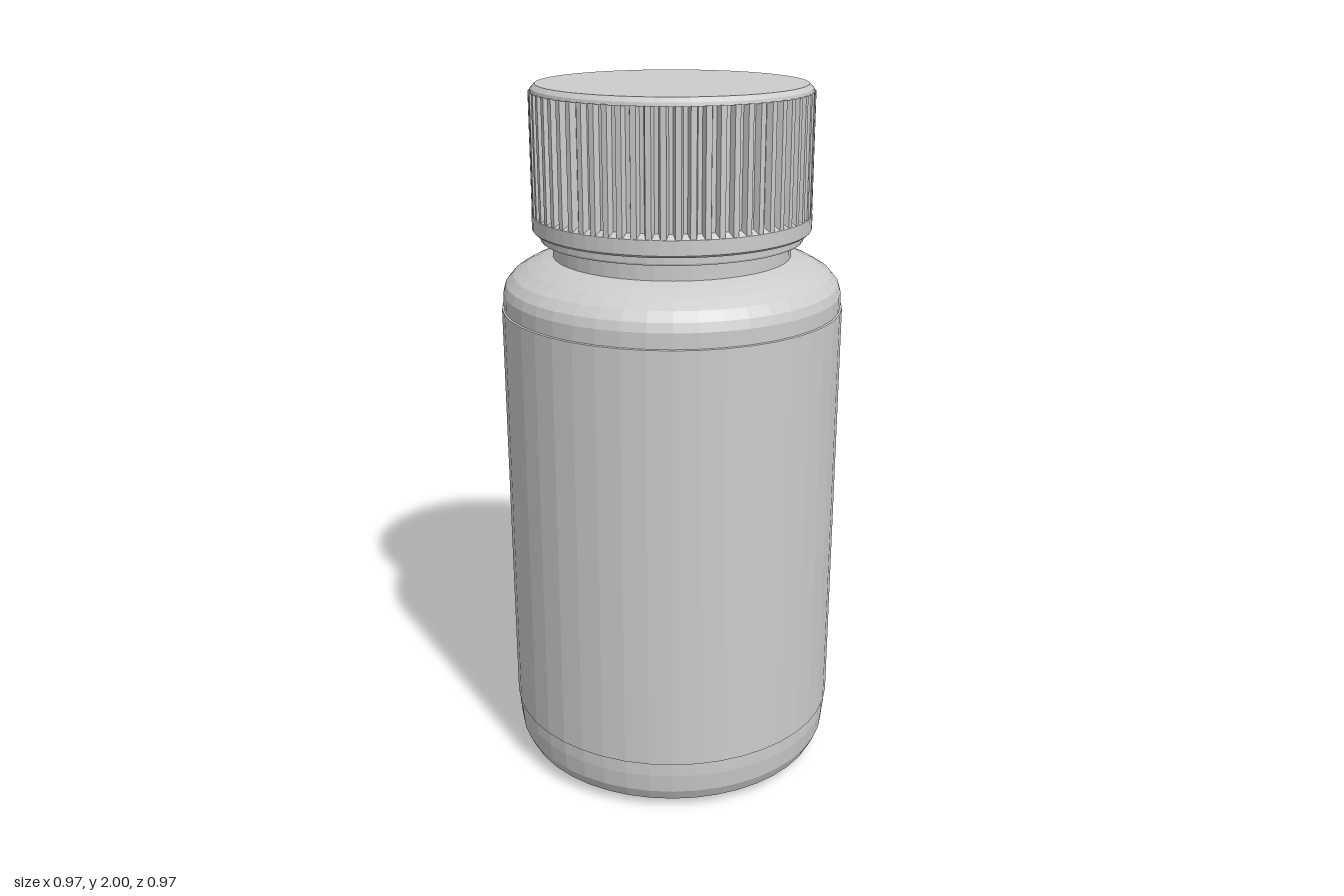
import * as THREE from 'three';

// Revolves a [radius, height] profile, listed from bottom to top, with flat facets
function turned(name, profile, segments, material) {
  const points = profile.map(([r, y]) => new THREE.Vector2(r, y));
  const geometry = new THREE.LatheGeometry(points, segments).toNonIndexed();
  geometry.computeVertexNormals();
  const mesh = new THREE.Mesh(geometry, material);
  mesh.name = name;
  return mesh;
}

// Toothed ring for the grip, standing between two heights
function ribbedGrip(bottom, top, inner, outer, count, material) {
  const shape = new THREE.Shape();
  const step = (Math.PI * 2) / count;
  for (let i = 0; i < count; i++) {
    [[0, inner], [0.3, inner], [0.45, outer], [0.85, outer]].forEach(([t, r], k) => {
      const a = (i + t) * step;
      const x = r * Math.cos(a), y = r * Math.sin(a);
      if (i === 0 && k === 0) shape.moveTo(x, y);
      else shape.lineTo(x, y);
    });
  }
  shape.closePath();
  const geometry = new THREE.ExtrudeGeometry(shape, { depth: top - bottom, bevelEnabled: false });
  geometry.rotateX(-Math.PI / 2);
  geometry.translate(0, bottom, 0);
  const mesh = new THREE.Mesh(geometry, material);
  mesh.name = 'capGrip';
  return mesh;
}

export function createModel() {
  const model = new THREE.Group();
  model.name = 'screwTopBottle';
  const plastic = new THREE.MeshStandardMaterial({ color: 0xcccccc });
  plastic.name = 'light grey plastic';

  // Bottle: recessed underside, rounded foot, straight wall, shoulder and neck
  const bottle = turned('bottle', [
    [0, 0.05], [0.2, 0.045], [0.29, 0.03], [0.35, 0.004], [0.38, 0],
    [0.425, 0.009], [0.455, 0.03], [0.472, 0.065], [0.478, 0.12], [0.478, 1.43],
    [0.47, 1.455], [0.448, 1.48], [0.41, 1.503], [0.37, 1.52], [0.335, 1.53],
    [0.335, 1.61],
  ], 44, plastic);

  // Slightly raised label sleeve wrapped round the wall
  const label = turned('labelSleeve', [
    [0.477, 0.16], [0.483, 0.162], [0.483, 1.386], [0.477, 1.388],
  ], 44, plastic);

  // Tamper ring under the cap
  const ring = turned('tamperRing', [
    [0.33, 1.578], [0.368, 1.578], [0.37, 1.583], [0.37, 1.605],
  ], 48, plastic);

  // Cap: smooth lower band, ribbed grip and a bevelled lid
  const cap = new THREE.Group();
  cap.name = 'cap';
  cap.add(turned('capBand', [
    [0.33, 1.602], [0.385, 1.602], [0.391, 1.608], [0.391, 1.648], [0.372, 1.662],
  ], 60, plastic));
  cap.add(ribbedGrip(1.645, 1.98, 0.373, 0.39, 64, plastic));
  cap.add(turned('capLid', [
    [0.386, 1.978], [0.384, 1.988], [0.372, 2], [0, 2],
  ], 60, plastic));

  model.add(bottle, label, ring, cap);
  return model;
}
